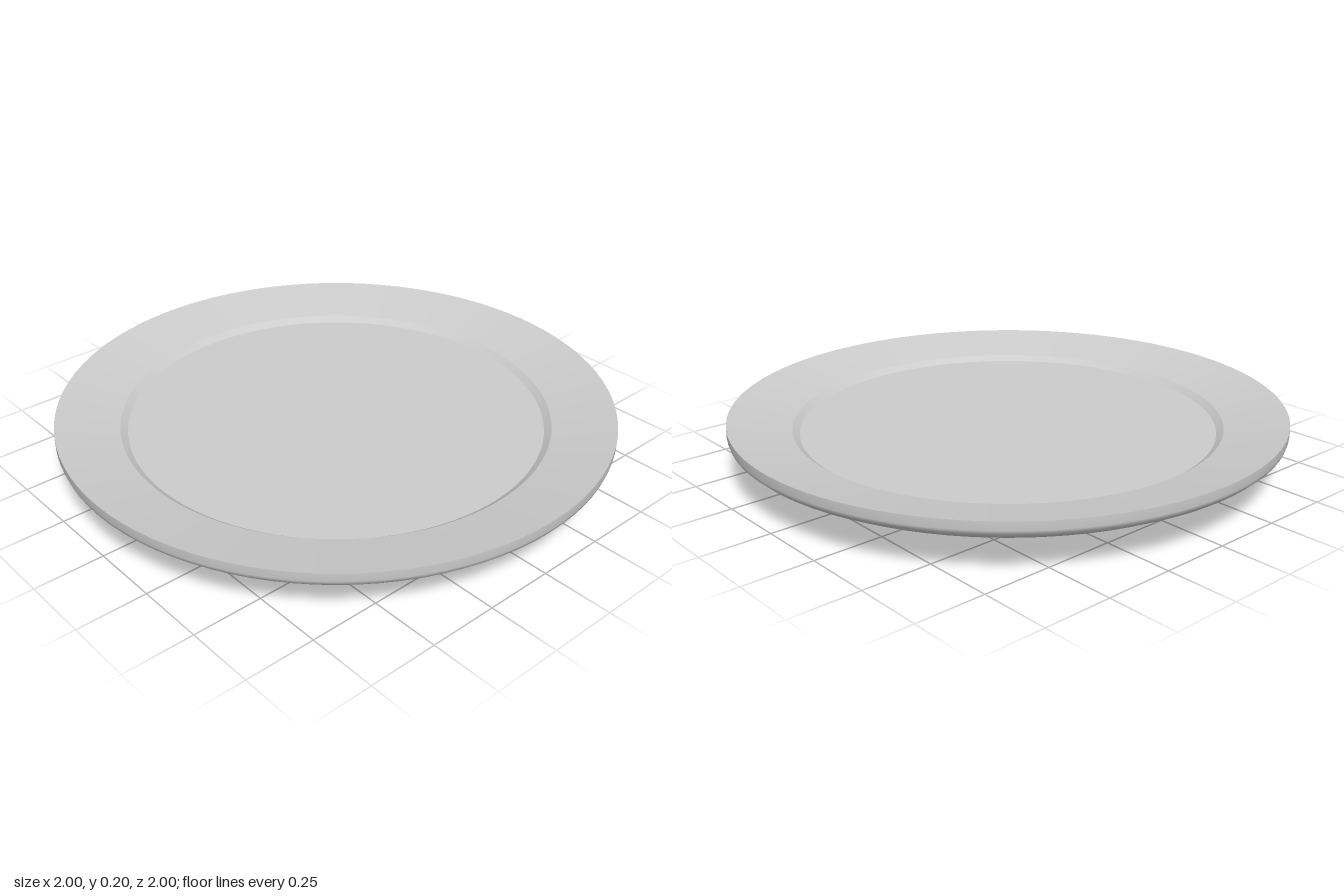
import * as THREE from 'three';

export function createModel() {
  const plate = new THREE.Group();
  plate.name = 'plate';
  const ceramic = new THREE.MeshStandardMaterial({ color: 0xcccccc });
  ceramic.name = 'grey ceramic';

  // Each profile is a smooth band; edges between bands stay sharp.
  const bands = {
    underside: [[0, 0.04], [0.587, 0.04]],
    footInside: [[0.587, 0.04], [0.617, 0]],
    footBase: [[0.617, 0], [0.65, 0]],
    footOutside: [[0.65, 0], [0.697, 0.04]],
    outerBowl: [[0.697, 0.04], [0.78, 0.065], [0.87, 0.092], [0.94, 0.12],
      [0.98, 0.142], [0.996, 0.157], [1, 0.17], [1, 0.2]],
    rim: [[1, 0.2], [0.775, 0.153]],
    innerStep: [[0.775, 0.153], [0.75, 0.134]],
    floor: [[0.75, 0.134], [0, 0.134]],
  };

  for (const [name, profile] of Object.entries(bands)) {
    const points = profile.map(([r, y]) => new THREE.Vector2(r, y));
    const mesh = new THREE.Mesh(new THREE.LatheGeometry(points, 96), ceramic);
    mesh.name = name;
    plate.add(mesh);
  }
  return plate;
}
